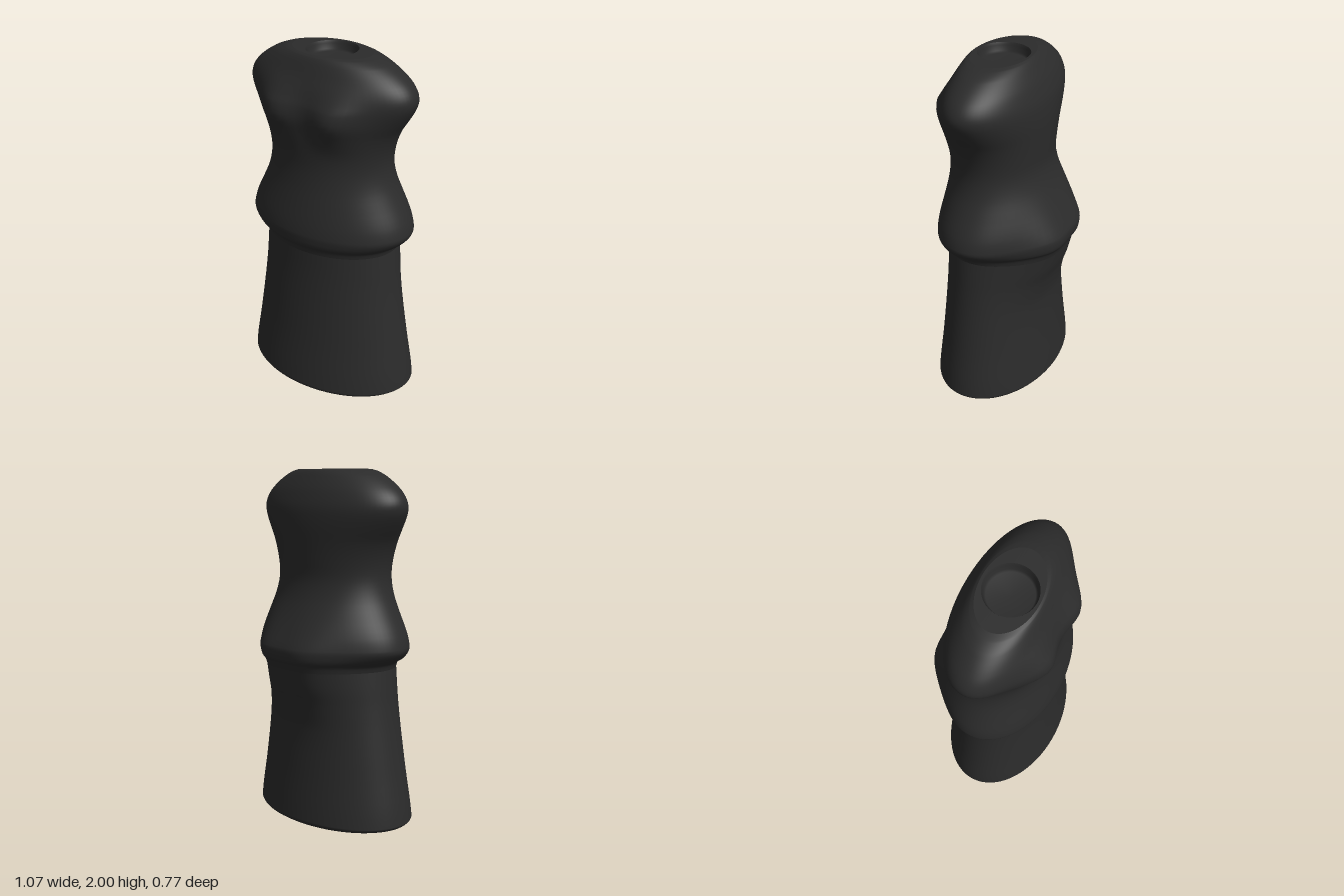
import * as THREE from 'three';

const SEGMENTS = 72;
const CENTRE_Z = 0.035;

// Two mirrored soft lobes across the width, centred at x = ±offset
const lobes = (x, offset, spread) =>
  Math.exp(-(((x - offset) / spread) ** 2) / 2) + Math.exp(-(((x + offset) / spread) ** 2) / 2);

// Smooth interpolation through the section table
function refine(rows, steps) {
  const out = [];
  for (let i = 0; i < rows.length - 1; i++) {
    const [p, a, b, n] = [rows[Math.max(i - 1, 0)], rows[i], rows[i + 1], rows[Math.min(i + 2, rows.length - 1)]];
    for (let s = 0; s < steps; s++) {
      const t = s / steps, h = b[0] - a[0];
      out.push(a.map((v, k) => {
        if (k === 0) return v + h * t;
        const m0 = (b[k] - p[k]) / (b[0] - p[0]) * h;
        const m1 = (n[k] - a[k]) / (n[0] - a[0]) * h;
        return (2 * t ** 3 - 3 * t ** 2 + 1) * v + (t ** 3 - 2 * t ** 2 + t) * m0
          + (3 * t ** 2 - 2 * t ** 3) * b[k] + (t ** 3 - t ** 2) * m1;
      }));
    }
  }
  out.push(rows[rows.length - 1]);
  return out;
}

// Skin over oval sections: [y, half width, front z, back z, chest lobes, seat lobes]
function loft(name, rows, material) {
  const positions = [], index = [];
  rows.forEach(([y, w, front, back, chest = 0, seat = 0], i) => {
    for (let j = 0; j < SEGMENTS; j++) {
      const t = (j / SEGMENTS) * Math.PI * 2, s = Math.sin(t);
      const x = w * Math.cos(t);
      let z = CENTRE_Z + s * (s > 0 ? front - CENTRE_Z : CENTRE_Z - back);
      const fade = Math.min(1, Math.abs(s) * 1.5);
      z += s > 0 ? chest * fade * lobes(x, 0.18, 0.1) : -seat * fade * lobes(x, 0.15, 0.13);
      positions.push(x, y, z);
      if (i < rows.length - 1) {
        const k = (j + 1) % SEGMENTS;
        const a = i * SEGMENTS + j, b = i * SEGMENTS + k;
        index.push(a, a + SEGMENTS, b, b, a + SEGMENTS, b + SEGMENTS);
      }
    }
  });
  const geometry = new THREE.BufferGeometry();
  geometry.setAttribute('position', new THREE.Float32BufferAttribute(positions, 3));
  geometry.setIndex(index);
  geometry.computeVertexNormals();
  const mesh = new THREE.Mesh(geometry, material);
  mesh.name = name;
  return mesh;
}

// Circular section for the neck opening
const ring = (y, r) => [y, r, CENTRE_Z + r, CENTRE_Z - r, 0, 0];

export function createModel() {
  const group = new THREE.Group();
  group.name = 'torsoForm';
  const material = new THREE.MeshStandardMaterial({ color: 0x2b2b2b });

  // Flared skirt with a rounded hem
  const skirt = [
    [0, 0.495, 0.365, -0.29, 0, 0],
    [0.01, 0.52, 0.383, -0.305, 0, 0],
    [0.03, 0.535, 0.388, -0.31, 0, 0],
    [0.3, 0.49, 0.36, -0.287, 0, 0],
    [0.55, 0.45, 0.34, -0.274, 0, 0.003],
    [0.7, 0.43, 0.33, -0.27, 0, 0.028],
    [0.8, 0.42, 0.326, -0.272, 0, 0.055],
    [0.9, 0.41, 0.325, -0.275, 0, 0.075],
  ];

  // Overhanging hip edge, waist, chest and shoulders
  const torso = [
    [0.9, 0.41, 0.325, -0.275, 0, 0.075],
    [0.935, 0.425, 0.334, -0.277, 0, 0.085],
    [0.96, 0.465, 0.357, -0.288, 0, 0.09],
    [1.0, 0.5, 0.364, -0.291, 0, 0.092],
    [1.03, 0.505, 0.365, -0.291, 0, 0.088],
    [1.1, 0.485, 0.355, -0.285, 0, 0.06],
    [1.2, 0.435, 0.335, -0.267, 0, 0.028],
    [1.3, 0.39, 0.316, -0.247, 0, 0.006],
    [1.4, 0.37, 0.305, -0.23, 0, 0],
    [1.5, 0.38, 0.305, -0.233, 0.004, 0],
    [1.6, 0.415, 0.297, -0.238, 0.04, 0],
    [1.68, 0.465, 0.29, -0.24, 0.075, 0],
    [1.75, 0.505, 0.285, -0.237, 0.07, 0],
    [1.8, 0.517, 0.278, -0.23, 0.045, 0],
    [1.85, 0.5, 0.267, -0.215, 0.022, 0],
    [1.9, 0.455, 0.25, -0.195, 0.006, 0],
    [1.96, 0.365, 0.225, -0.16, 0, 0],
    [1.99, 0.29, 0.207, -0.138, 0, 0],
    [2, 0.24, 0.193, -0.123, 0, 0],
  ];

  const rim = [torso[torso.length - 1], ring(2, 0.143)];
  const socket = [ring(2, 0.143), ring(1.985, 0.137), ring(1.955, 0.132), ring(1.945, 0.122), ring(1.943, 0)];
  const base = [[0, 0, CENTRE_Z, CENTRE_Z], skirt[0]];

  group.add(
    loft('skirt', refine(skirt, 4), material),
    loft('torso', refine(torso, 3), material),
    loft('neckRim', rim, material),
    loft('neckSocket', socket, material),
    loft('base', base, material),
  );
  return group;
}
